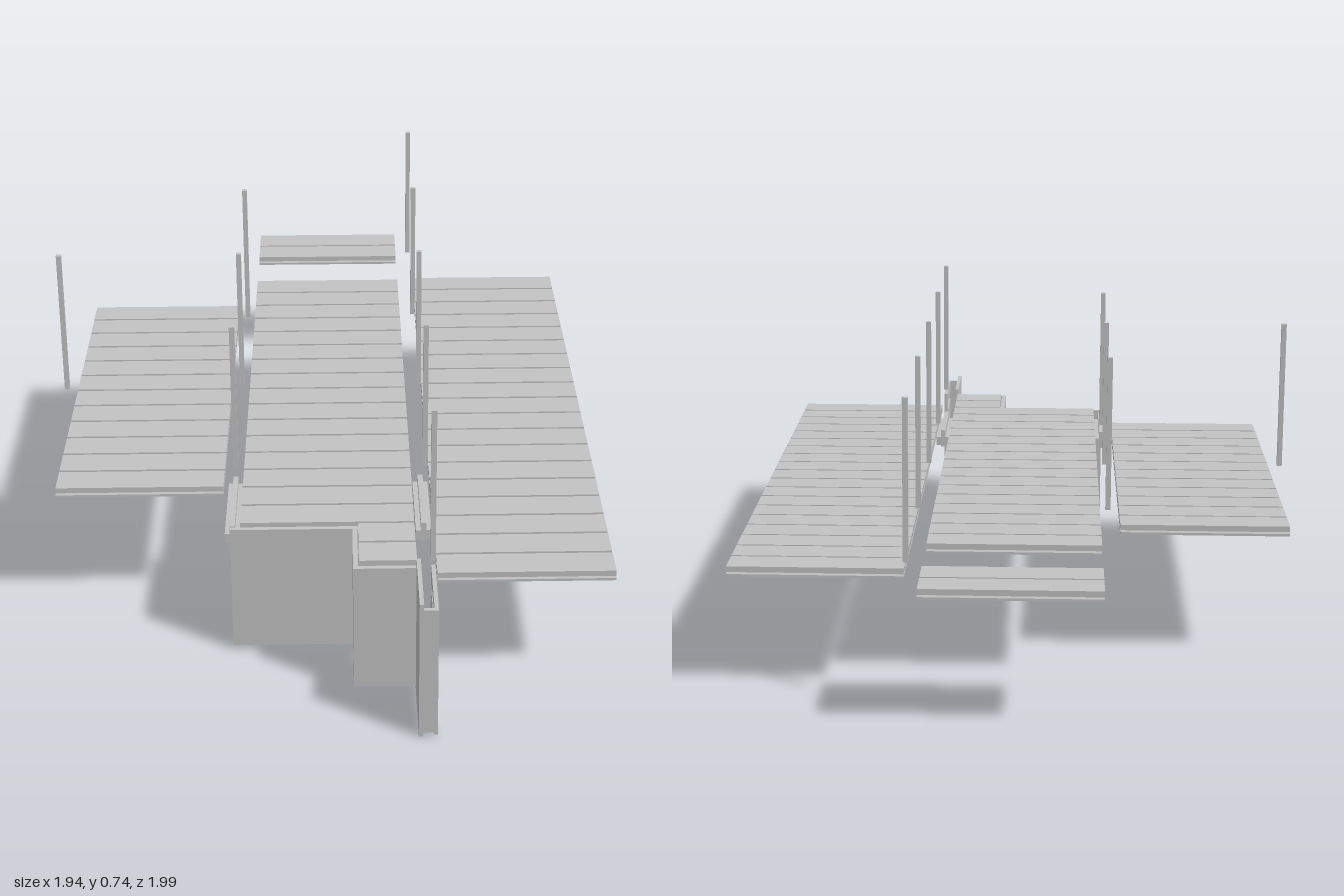
import * as THREE from 'three';

export function createModel() {
  const model = new THREE.Group();
  model.name = 'precastFloorAssembly';
  // All parts lie on one grid, turned against the world axes
  const grid = new THREE.Group();
  grid.name = 'buildingGrid';
  grid.rotation.y = 0.701;
  model.add(grid);

  const concrete = new THREE.MeshStandardMaterial({ color: 0xc2c2c2 });
  concrete.name = 'concrete grey';

  const add = (name, geometry, parent = grid) => {
    const mesh = new THREE.Mesh(geometry, concrete);
    mesh.name = name;
    parent.add(mesh);
    return mesh;
  };

  // Box given by its extents on the grid
  const block = (name, x0, x1, y0, y1, z0, z1, parent) => {
    const mesh = add(name, new THREE.BoxGeometry(x1 - x0, y1 - y0, z1 - z0), parent);
    mesh.position.set((x0 + x1) / 2, (y0 + y1) / 2, (z0 + z1) / 2);
    return mesh;
  };

  // Hollow-core plank: cross-section with grout keys and round voids
  const PITCH = 0.0931, THICK = 0.024;
  const plankGeometry = (length) => {
    const w = PITCH / 2 - 0.0004, t = w - 0.0035;
    const shape = new THREE.Shape([
      [-w, 0], [w, 0], [w, 0.006], [t, 0.010], [t, THICK],
      [-t, THICK], [-t, 0.010], [-w, 0.006],
    ].map(([x, y]) => new THREE.Vector2(x, y)));
    const voids = 6;
    for (let i = 0; i < voids; i++) {
      const hole = new THREE.Path();
      hole.absarc((i - (voids - 1) / 2) * 0.0138, THICK / 2, 0.0052, 0, Math.PI * 2, true);
      shape.holes.push(hole);
    }
    return new THREE.ExtrudeGeometry(shape, { depth: length, bevelEnabled: false, curveSegments: 8 });
  };

  // Row of planks laid side by side
  const plankRow = (name, count, x0, y, z0, z1) => {
    const row = new THREE.Group();
    row.name = name;
    grid.add(row);
    const geometry = plankGeometry(z1 - z0);
    for (let i = 0; i < count; i++) {
      add('plank', geometry, row).position.set(x0 + (i + 0.5) * PITCH, y, z0);
    }
  };
  const UPPER = 0.319, LOWER = 0.284;
  plankRow('backFloor', 12, -0.559, UPPER, -0.842, -0.426);
  plankRow('middleFloor', 16, -0.745, UPPER, -0.378, 0.042);
  plankRow('shortFloor', 2, -0.931, UPPER, -0.094, 0.042);
  plankRow('detachedFloor', 2, 0.922, UPPER, -0.378, 0.042);
  plankRow('frontFloor', 19, -0.931, LOWER, 0.09, 0.511);

  // Ledge beams: a deep web between two slimmer lips
  const ledgeBeam = (x0, x1, z0, z1) => {
    const beam = new THREE.Group();
    beam.name = 'ledgeBeam';
    grid.add(beam);
    const third = (z1 - z0) / 3;
    block('beamLip', x0, x1, 0.287, 0.312, z0, z0 + third, beam);
    block('beamWeb', x0, x1, 0.283, 0.332, z0 + third, z1 - third, beam);
    block('beamLip', x0, x1, 0.287, 0.312, z1 - third, z1, beam);
  };
  ledgeBeam(-0.738, -0.483, -0.416, -0.379);
  ledgeBeam(-0.732, -0.483, 0.046, 0.084);

  // Stepped end walls
  block('endWall', -0.761, -0.748, 0.01, 0.335, -0.402, -0.095);
  block('stepWall', -0.95, -0.748, 0.01, 0.335, -0.108, -0.096);
  block('outerEndWall', -0.95, -0.937, 0.01, 0.335, -0.096, 0.043);

  // Narrow shaft with a doorway and a slot in its front wall
  const shaft = new THREE.Group();
  shaft.name = 'entranceShaft';
  grid.add(shaft);
  block('shaftBackWall', -1.146, -0.94, 0, 0.355, 0.04, 0.05, shaft);
  block('shaftSideWall', -1.146, -1.136, 0.01, 0.34, 0.05, 0.074, shaft);
  const front = new THREE.Shape([
    [0, 0], [0.022, 0], [0.022, 0.175], [0.18, 0.175], [0.18, 0],
    [0.202, 0], [0.202, 0.335], [0, 0.335],
  ].map(([x, y]) => new THREE.Vector2(x, y)));
  front.holes.push(new THREE.Path([
    [0.02, 0.28], [0.02, 0.305], [0.182, 0.305], [0.182, 0.28],
  ].map(([x, y]) => new THREE.Vector2(x, y))));
  add('shaftFrontWall', new THREE.ExtrudeGeometry(front, { depth: 0.01, bevelEnabled: false }), shaft)
    .position.set(-1.146, 0.005, 0.074);

  // Square columns standing on the grid points
  const columns = [[-0.013, -0.868]];
  for (let i = 0; i < 5; i++) columns.push([-0.944 + i * 0.469, 0.078]);
  for (let i = 0; i < 3; i++) columns.push([-0.477 + i * 0.4665, -0.397]);
  const columnGeometry = new THREE.BoxGeometry(0.013, 0.388, 0.013);
  for (const [x, z] of columns) add('column', columnGeometry).position.set(x, 0.549, z);

  return model;
}
